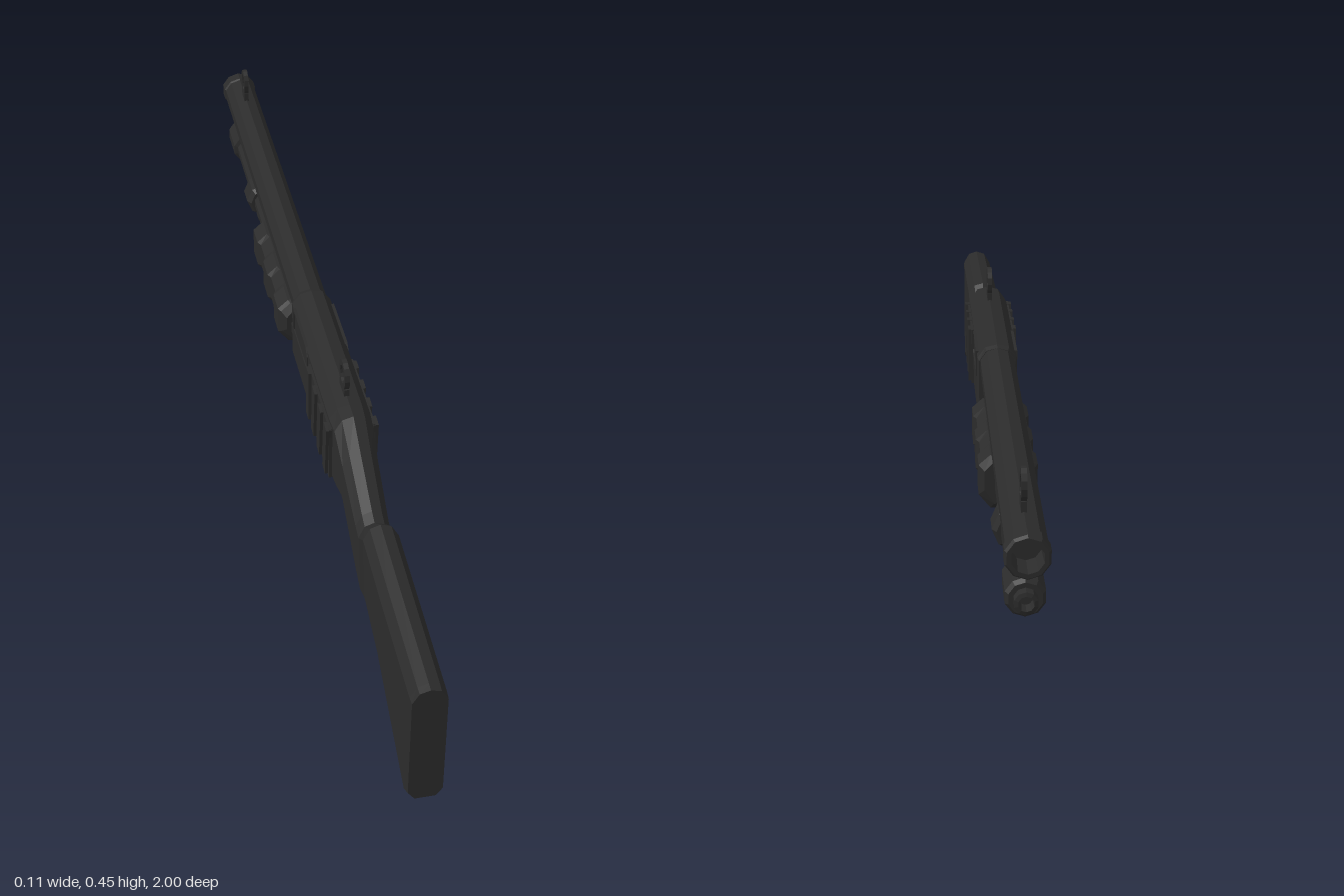
import * as THREE from 'three';

const gunmetal = new THREE.MeshStandardMaterial({ color: 0x2b2b2b, flatShading: true });

function add(group, name, geometry, x = 0, y = 0, z = 0) {
  const mesh = new THREE.Mesh(geometry, gunmetal);
  mesh.name = name;
  mesh.position.set(x, y, z);
  group.add(mesh);
  return mesh;
}

// Skin through bevelled sections; each station is [zTop, yTop, zBottom, yBottom, halfWidth]
function loft(stations, bevelTop = 0.028, bevelBottom = 0.018, crown = 0.006) {
  const pos = [], idx = [], n = 9;
  for (const [zt, yt, zb, yb, w] of stations) {
    const half = [[0.6 * w, yt - crown], [w, yt - bevelTop], [w, yb + bevelBottom], [0.6 * w, yb]];
    const ring = [[0, yt], ...half, ...half.slice().reverse().map(([x, y]) => [-x, y])];
    for (const [x, y] of ring) pos.push(x, y, zb + (zt - zb) * (y - yb) / (yt - yb));
  }
  const last = (stations.length - 1) * n;
  for (let k = 0; k < last; k += n) {
    for (let i = 0; i < n; i++) {
      const j = (i + 1) % n;
      idx.push(k + i, k + j, k + n + j, k + i, k + n + j, k + n + i);
    }
  }
  for (let i = 1; i < n - 1; i++) idx.push(0, i + 1, i, last, last + i, last + i + 1);
  const g = new THREE.BufferGeometry();
  g.setAttribute('position', new THREE.Float32BufferAttribute(pos, 3));
  g.setIndex(idx);
  const flat = g.toNonIndexed();
  flat.computeVertexNormals();
  return flat;
}

// Turned part along the length; points are [radius, distance toward -z]
function turned(points, sides = 10) {
  const g = new THREE.LatheGeometry(points.map(([r, d]) => new THREE.Vector2(r, d)), sides);
  return g.rotateX(-Math.PI / 2);
}

// Plate cut from a side outline of (z, y) points, centred across x
function sidePlate(outline, hole, thickness) {
  const v = (pts) => pts.map(([a, b]) => new THREE.Vector2(a, b));
  const shape = new THREE.Shape(v(outline));
  if (hole) shape.holes.push(new THREE.Path(v(hole)));
  const g = new THREE.ExtrudeGeometry(shape, { depth: thickness, bevelEnabled: false });
  return g.translate(0, 0, -thickness / 2).rotateY(-Math.PI / 2);
}

function oval(rz, ry, count = 14) {
  return Array.from({ length: count }, (_, i) => {
    const a = i / count * Math.PI * 2;
    return [rz * Math.cos(a), ry * Math.sin(a)];
  });
}

export function createModel() {
  const model = new THREE.Group();
  model.name = 'pumpActionToy';

  // Stock, wrist and receiver
  add(model, 'stock', loft([
    [1, 0.298, 1, 0.02, 0.032],
    [0.985, 0.299, 0.975, 0.004, 0.033],
    [0.76, 0.314, 0.755, 0.123, 0.034],
    [0.615, 0.326, 0.65, 0.155, 0.034],
    [0.568, 0.288, 0.6, 0.132, 0.032],
    [0.545, 0.296, 0.56, 0.147, 0.032],
    [0.44, 0.352, 0.44, 0.23, 0.035],
    [0.375, 0.389, 0.4, 0.222, 0.038],
  ]));
  add(model, 'receiver', loft([
    [0.375, 0.389, 0.4, 0.222, 0.038],
    [0.34, 0.39, 0.34, 0.22, 0.041],
    [-0.045, 0.39, -0.045, 0.22, 0.041],
    [-0.057, 0.386, -0.057, 0.224, 0.038],
  ]));
  add(model, 'lowerPlate', new THREE.BoxGeometry(0.04, 0.014, 0.5), 0, 0.222, 0.195);

  // Barrel with open muzzle
  add(model, 'barrel', turned([
    [0, 0.03], [0.037, 0.03], [0.037, 0.965], [0.04, 0.968], [0.04, 0.994],
    [0.036, 1], [0.028, 1], [0.026, 0.95], [0, 0.95],
  ]), 0, 0.349, 0);

  // Magazine tube with collar and end cap
  add(model, 'magazineTube', turned([
    [0, 0.03], [0.033, 0.03], [0.033, 0.11], [0.027, 0.115], [0.027, 0.855],
    [0.036, 0.858], [0.036, 0.94], [0.03, 0.948], [0.021, 0.948],
    [0.021, 0.966], [0.014, 0.968], [0.012, 0.945], [0, 0.945],
  ]), 0, 0.252, 0);

  // Ribbed sliding grip
  const grip = [[-0.115, 0.295, -0.115, 0.215, 0.04], [-0.128, 0.305, -0.128, 0.203, 0.05]];
  for (let i = 0; i < 5; i++) {
    const z = -0.13 - i * 0.065, w = i % 2 ? 0.05 : 0.056, yb = i % 2 ? 0.203 : 0.198;
    grip.push([z - 0.006, 0.308, z - 0.006, yb, w], [z - 0.058, 0.308, z - 0.058, yb, w]);
  }
  grip.push([-0.458, 0.298, -0.458, 0.21, 0.045]);
  add(model, 'slidingGrip', loft(grip, 0.022, 0.028, 0.002));

  // Clamp joining tube and barrel
  add(model, 'clampBand', turned([
    [0, 0.61], [0.034, 0.61], [0.042, 0.622], [0.042, 0.668], [0.034, 0.68], [0, 0.68],
  ], 8), 0, 0.252, 0);
  add(model, 'clampBridge', new THREE.BoxGeometry(0.036, 0.05, 0.045), 0, 0.3, -0.645);
  add(model, 'clampFoot', new THREE.BoxGeometry(0.03, 0.03, 0.04), 0, 0.208, -0.645);

  // Side carriers with slanted ribs, and side ports
  for (const s of [1, -1]) {
    add(model, 'sideCarrier', new THREE.BoxGeometry(0.008, 0.122, 0.21), s * 0.042, 0.295, 0.262);
    for (let i = 0; i < 4; i++) {
      const rib = add(model, 'carrierRib', new THREE.BoxGeometry(0.011, 0.118, 0.026),
        s * 0.0465, 0.297, 0.35 - i * 0.058);
      rib.rotation.x = i < 3 ? 0.1 : 0;
    }
    const port = [[0.13, 0.32], [0.13, 0.352], [0.115, 0.368], [-0.02, 0.368], [-0.02, 0.312], [0.12, 0.312]];
    const inner = port.map(([z, y]) => [0.055 + (z - 0.055) * 0.93, 0.34 + (y - 0.34) * 0.8]);
    add(model, 'portFrame', sidePlate(port, inner, 0.006), s * 0.0405);
  }

  // Trigger guard and trigger
  add(model, 'triggerGuard', sidePlate(
    [[0.415, 0.225], [0.392, 0.168], [0.372, 0.152], [0.34, 0.147], [0.285, 0.153], [0.267, 0.18], [0.26, 0.225]],
    [[0.396, 0.217], [0.379, 0.175], [0.364, 0.163], [0.338, 0.159], [0.293, 0.164], [0.28, 0.184], [0.274, 0.217]],
    0.024));
  add(model, 'trigger', sidePlate(
    [[0.372, 0.225], [0.37, 0.19], [0.352, 0.17], [0.348, 0.174], [0.36, 0.194], [0.355, 0.225]],
    null, 0.01));

  // Ring sights
  for (const [name, z, r] of [['rearSight', 0.29, 0.028], ['frontSight', -0.88, 0.023]]) {
    add(model, name, sidePlate(oval(r, 0.032), oval(r - 0.011, 0.02), 0.01), 0, 0.427, z);
    add(model, name + 'Base', new THREE.BoxGeometry(0.01, 0.028, r * 1.6), 0, 0.39, z);
  }
  return model;
}
